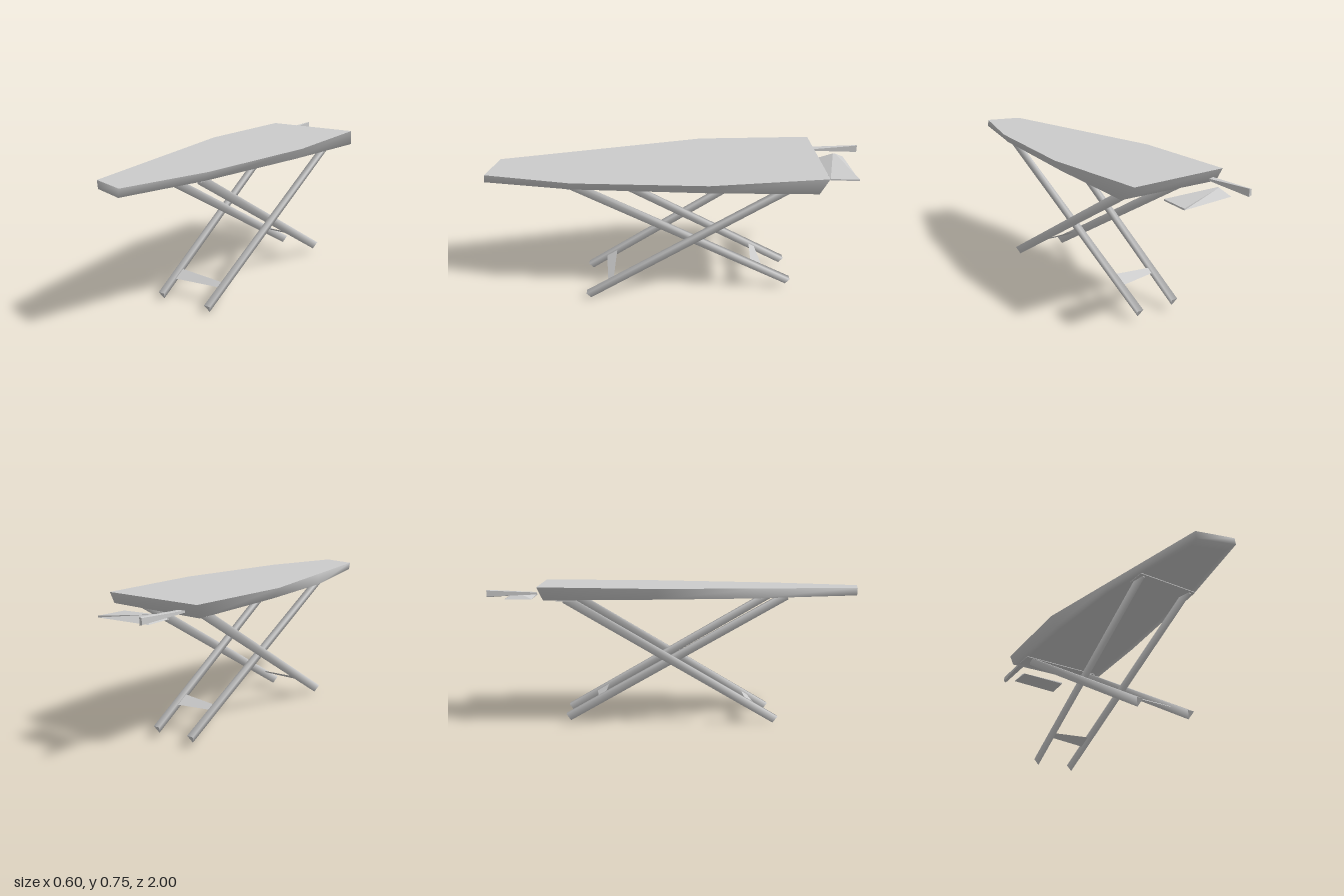
import * as THREE from 'three';

const smooth = new THREE.MeshStandardMaterial({ color: 0xcccccc, side: THREE.DoubleSide });
const flat = new THREE.MeshStandardMaterial({ color: 0xcccccc, side: THREE.DoubleSide, flatShading: true });

// Skin a list of equal-length rings; the caps have their own corners so the ends stay sharp.
// Rings run clockwise as seen from outside the first cap.
function loft(name, rings, material) {
  const n = rings[0].length, pos = rings.flat(2), idx = [];
  for (let r = 0; r < rings.length - 1; r++) {
    for (let i = 0; i < n; i++) {
      const a = r * n + i, b = r * n + (i + 1) % n;
      idx.push(a, b, b + n, a, b + n, a + n);
    }
  }
  const first = pos.length / 3, last = first + n;
  pos.push(...rings[0].flat(), ...rings[rings.length - 1].flat());
  for (let k = 1; k < n - 1; k++) {
    idx.push(first, first + k + 1, first + k, last, last + k, last + k + 1);
  }
  const g = new THREE.BufferGeometry();
  g.setAttribute('position', new THREE.Float32BufferAttribute(pos, 3));
  g.setIndex(idx);
  g.computeVertexNormals();
  const mesh = new THREE.Mesh(g, material);
  mesh.name = name;
  return mesh;
}

// Leg with a triangular section, flat side up and ridge down
function leg(name, foot, top) {
  const d = new THREE.Vector3(...top).sub(new THREE.Vector3(...foot)).normalize();
  const v = new THREE.Vector3(0, -d.z, d.y).multiplyScalar(-Math.sign(d.z));
  if (v.y < 0) v.negate();
  const s = Math.sign(v.z);
  const ring = ([x, y, z]) => [[0.018 * s, 0.021], [-0.018 * s, 0.021], [0, -0.023]]
    .map(([u, w]) => [x + u, y + v.y * w, z + v.z * w]);
  return loft(name, [ring(top), ring(foot)], smooth);
}

// Thin tapered bar between two legs, lying in the plane of the legs
function crossBar(name, left, right, y, z, slope, hLeft, hRight) {
  const g = new THREE.BufferGeometry();
  const p = (x, cy, h) => [x, cy + h, z + h * slope];
  g.setAttribute('position', new THREE.Float32BufferAttribute([
    ...p(left, y, -hLeft), ...p(right, y, -hRight), ...p(right, y, hRight), ...p(left, y, hLeft)], 3));
  g.setIndex([0, 1, 2, 0, 2, 3]);
  g.computeVertexNormals();
  const mesh = new THREE.Mesh(g, smooth);
  mesh.name = name;
  return mesh;
}

function plate(name, w, d, y, z) {
  const mesh = new THREE.Mesh(new THREE.BoxGeometry(w, 0.004, d), smooth);
  mesh.name = name;
  mesh.position.set(0, y, z);
  return mesh;
}

export function createModel() {
  const model = new THREE.Group();
  model.name = 'ironingBoard';

  // Board: sloping top outline, narrower underside with a soft edge
  const topEdge = [[-0.27, -0.74], [0.265, -0.745], [0.29, -0.14], [0.2, 0.55],
    [0.07, 0.995], [-0.12, 0.94], [-0.21, 0.4], [-0.3, -0.14]];
  const lowEdge = [[-0.26, -0.71], [0.295, -0.69], [0.255, -0.14], [0.175, 0.55],
    [0.07, 1], [-0.115, 0.94], [-0.24, 0.35], [-0.265, -0.14]];
  model.add(loft('board', [
    topEdge.map(([x, z]) => [x, 0.745 - 0.0155 * z, z]),
    lowEdge.map(([x, z]) => [x, 0.69, z]),
    lowEdge.map(([x, z]) => [x * 0.88, 0.69, z * 0.94]),
  ], smooth));

  // Two crossing pairs of legs
  for (const s of [1, -1]) {
    const side = s > 0 ? 'left' : 'right';
    model.add(leg(side + 'OuterLeg', [s * 0.15, 0.024, 0.5], [s * 0.185, 0.69, -0.61]));
    model.add(leg(side + 'InnerLeg', [s * 0.11, 0.049, -0.61], [s * 0.145, 0.695, 0.55]));
  }

  // Bars joining the feet
  model.add(crossBar('frontCrossBar', -0.14, 0.13, 0.108, 0.375, -1.67, 0.018, 0.009));
  model.add(crossBar('backCrossBar', -0.105, 0.105, 0.16, -0.43, 1.75, 0.009, 0.019));

  // Mounting plates under the board
  model.add(plate('backMountingPlate', 0.48, 0.1, 0.684, -0.6));
  model.add(plate('frontMountingPlate', 0.34, 0.1, 0.688, 0.52));

  // Iron rest behind the board, raised at one end
  model.add(loft('ironRest', [
    [[-0.125, 0.718, -0.865], [0.145, 0.69, -0.935], [0.13, 0.69, -0.785], [-0.125, 0.718, -0.855]],
    [[-0.15, 0.685, -0.92], [0.145, 0.682, -0.935], [0.13, 0.682, -0.785], [-0.145, 0.685, -0.78]],
  ], flat));

  // Twisted rod beside the rest: wide and flat near the board, tall at its end
  model.add(loft('restRod', [
    [[-0.205, 0.725, -0.745], [-0.17, 0.725, -0.755], [-0.17, 0.715, -0.755], [-0.205, 0.715, -0.745]],
    [[-0.19, 0.735, -1], [-0.176, 0.738, -1], [-0.176, 0.7, -1], [-0.19, 0.705, -1]],
  ], flat));

  return model;
}
